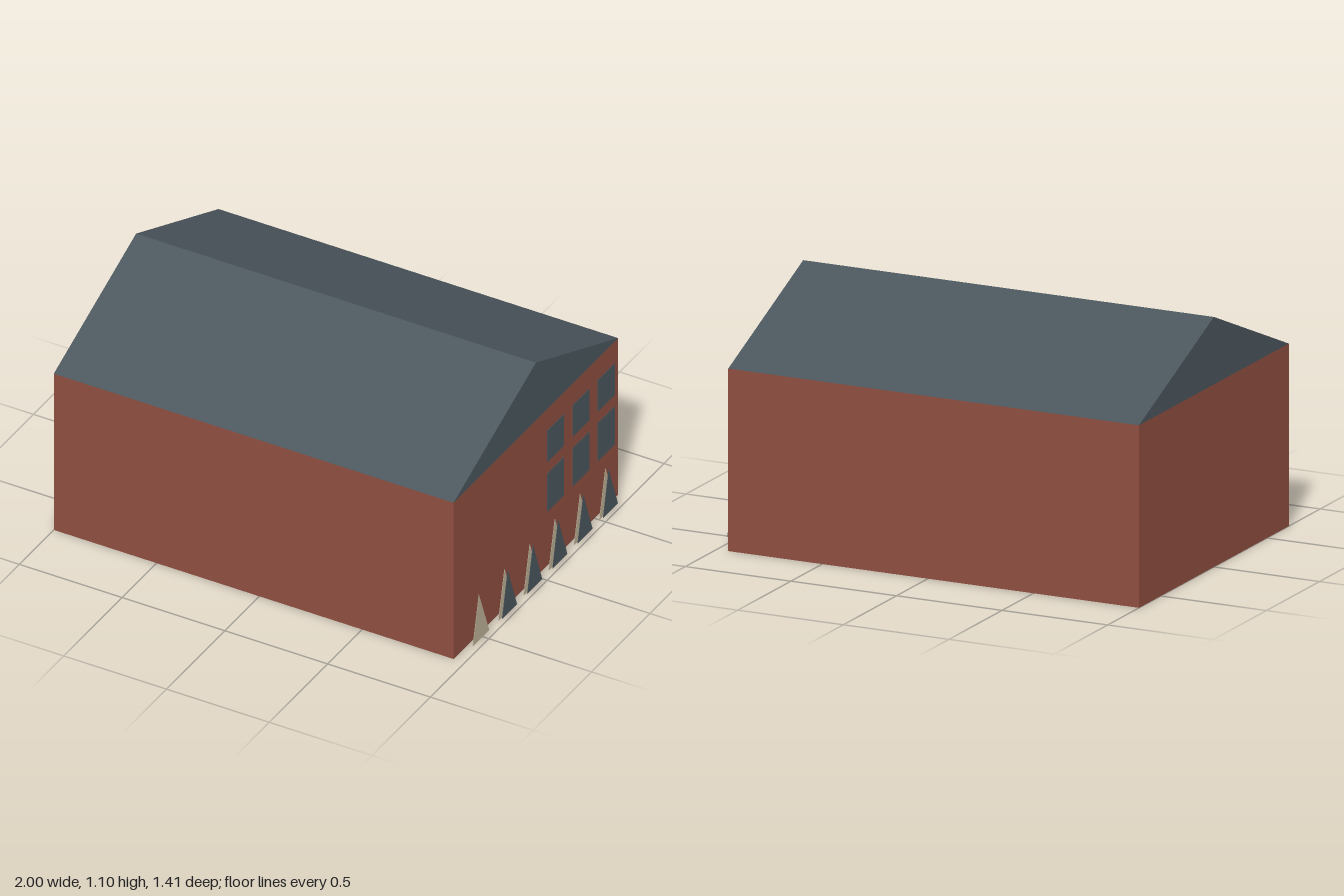
import * as THREE from 'three';

function material(name, color) {
  const m = new THREE.MeshStandardMaterial({ color, flatShading: true });
  m.name = name;
  return m;
}

// Polygon outline in the gable plane: first value runs towards -z, second is height.
const outline = (points) => new THREE.Shape(points.map(([u, y]) => new THREE.Vector2(u, y)));

export function createModel() {
  const model = new THREE.Group();
  model.name = 'house';
  const brick = material('brick red', 0x8e4e40);
  const slate = material('slate grey', 0x4a555c);
  const cream = material('cream', 0xb9ad93);
  const X0 = -1, X1 = 0.945, HALF = 0.705, EAVE = 0.803, RIDGE = 1.1;

  function add(name, geometry, mat, x, parent = model) {
    const mesh = new THREE.Mesh(geometry, mat);
    mesh.name = name;
    mesh.rotation.y = Math.PI / 2;
    mesh.position.x = x;
    parent.add(mesh);
  }
  const plate = (points) =>
    new THREE.ExtrudeGeometry(outline(points), { depth: 0.002, bevelEnabled: false });

  // Main block and gabled roof, both running along x
  const long = { depth: X1 - X0, bevelEnabled: false };
  add('walls', new THREE.ExtrudeGeometry(
    outline([[-HALF, 0], [HALF, 0], [HALF, EAVE], [-HALF, EAVE]]), long), brick, X0);
  add('roof', new THREE.ExtrudeGeometry(
    outline([[-HALF, EAVE], [HALF, EAVE], [0, RIDGE]]), long), slate, X0);

  // Two rows of three windows, set just off the gable wall
  const windows = new THREE.Group();
  windows.name = 'windows';
  model.add(windows);
  for (const [bottom, top] of [[0.325, 0.52], [0.58, 0.74]]) {
    for (const u of [0.107, 0.325, 0.54]) {
      add('window', plate([[u - 0.072, bottom], [u + 0.072, bottom], [u + 0.072, top], [u - 0.072, top]]),
        slate, 0.979, windows);
    }
  }

  // Row of triangular panels: the first is plain, the rest carry a dark inset
  const panels = new THREE.Group();
  panels.name = 'triangularPanels';
  model.add(panels);
  [-0.56, -0.341, -0.125, 0.09, 0.306, 0.523].forEach((u, i) => {
    add('panel', plate([[u - 0.052, 0.025], [u + 0.087, 0.025], [u, 0.257]]), cream, 0.985, panels);
    if (i > 0) {
      add('panelInset', plate([[u - 0.043, 0.032], [u + 0.083, 0.032], [u + 0.005, 0.253]]),
        slate, 0.998, panels);
    }
  });
  return model;
}
